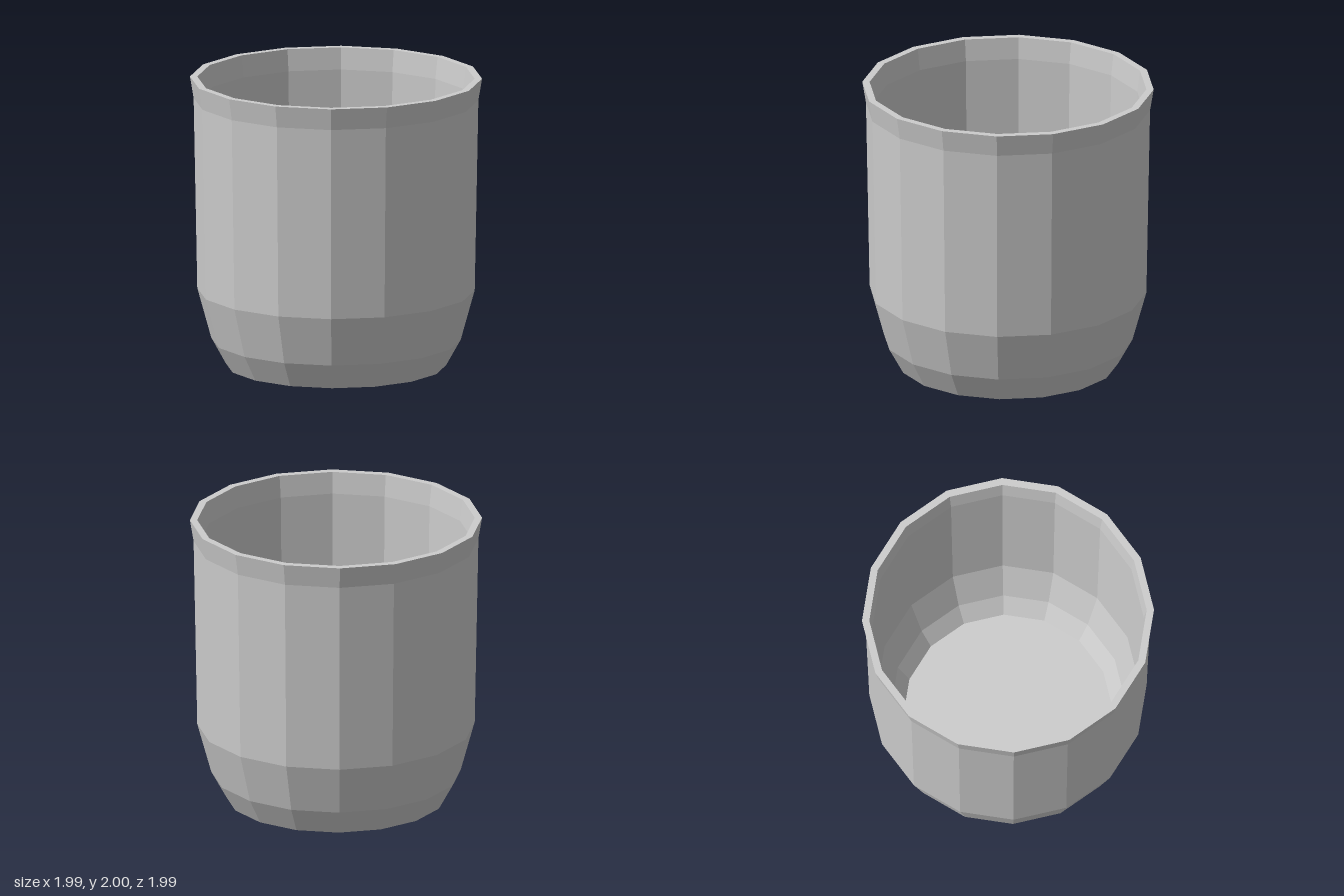
import * as THREE from 'three';

const SIDES = 16;

// Outer skin, from the centre of the base up to the flared lip
const OUTER = [[0, 0], [0.75, 0], [0.85, 0.18], [0.945, 0.525], [0.97, 1.85], [0.995, 2]];
// Flat rim, then down the inside wall to the centre of the floor
const INNER = [[0.945, 2], [0.925, 1.85], [0.895, 0.535], [0.8, 0.2], [0.715, 0.05], [0, 0.05]];

export function createModel() {
  const group = new THREE.Group();
  group.name = 'cup';

  // One closed, faceted shell of revolution
  const profile = [...OUTER, ...INNER].map(([r, y]) => new THREE.Vector2(r, y));
  const shell = new THREE.Mesh(
    new THREE.LatheGeometry(profile, SIDES),
    new THREE.MeshStandardMaterial({ color: 0xcccccc, flatShading: true })
  );
  shell.name = 'cupShell';
  group.add(shell);
  return group;
}
